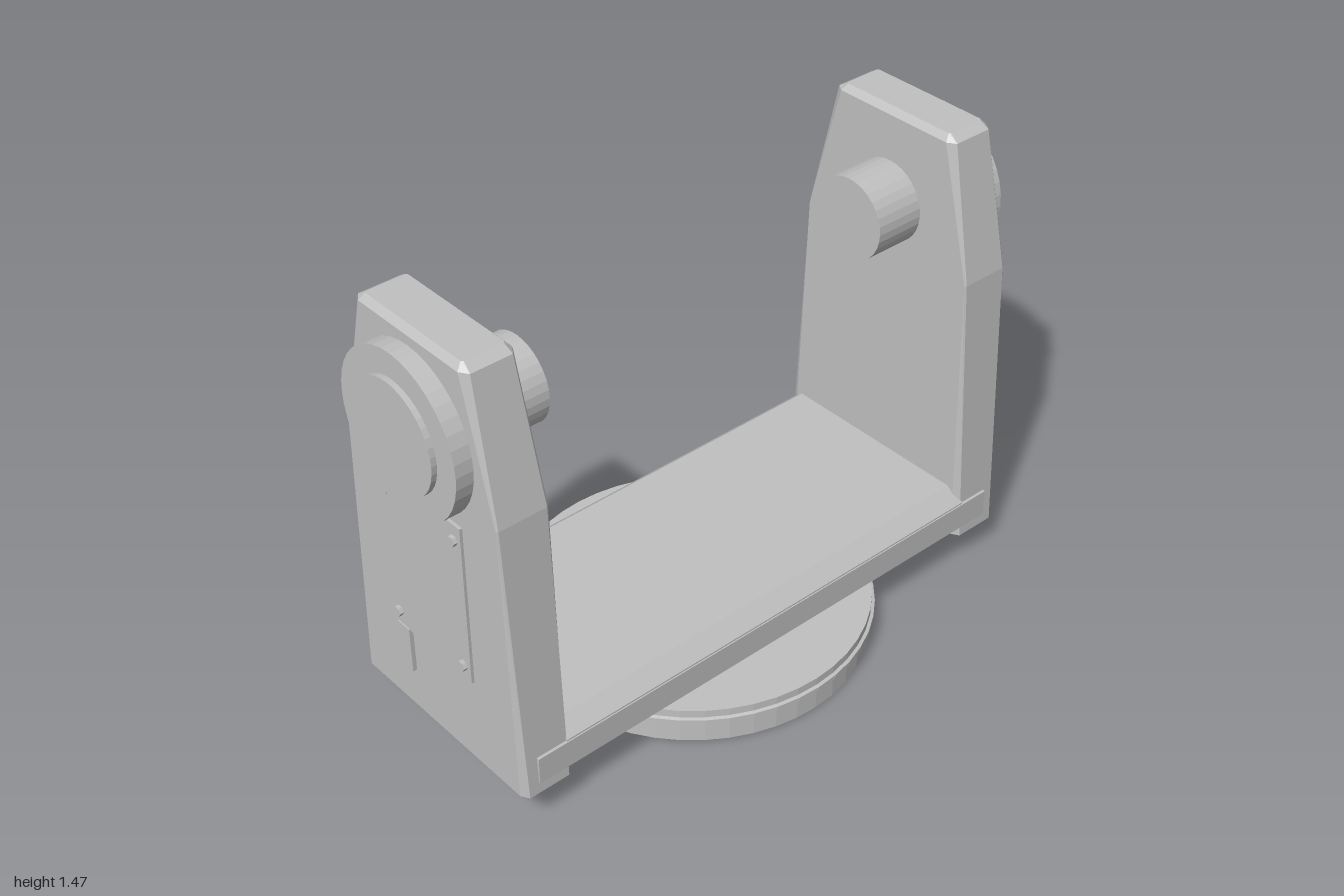
import * as THREE from 'three';

const castGrey = new THREE.MeshStandardMaterial({ color: 0xc0c0c0, flatShading: true });
castGrey.name = 'castGrey';

function add(parent, name, geometry, x = 0, y = 0, z = 0) {
  const mesh = new THREE.Mesh(geometry, castGrey);
  mesh.name = name;
  mesh.position.set(x, y, z);
  parent.add(mesh);
  return mesh;
}

// Cylinder lying along x, from x0 to x1
function addAxle(parent, name, r, x0, x1, y, z = 0, sides = 40) {
  const g = new THREE.CylinderGeometry(r, r, x1 - x0, sides).rotateZ(Math.PI / 2);
  return add(parent, name, g, (x0 + x1) / 2, y, z);
}

// Box given by its limits
function addBox(parent, name, x0, x1, y0, y1, z0, z1) {
  return add(parent, name, new THREE.BoxGeometry(x1 - x0, y1 - y0, z1 - z0),
    (x0 + x1) / 2, (y0 + y1) / 2, (z0 + z1) / 2);
}

// Stack of chamfered rectangles: [y, half width, half depth, chamfer x, chamfer z]
function loft(levels) {
  const rings = levels.map(([y, w, d, cx, cz]) => [
    [w, -d + cz], [w, d - cz], [w - cx, d], [-w + cx, d],
    [-w, d - cz], [-w, -d + cz], [-w + cx, -d], [w - cx, -d],
  ].map(([x, z]) => [x, y, z]));
  const out = [];
  const tri = (...pts) => pts.forEach((p) => out.push(...p));
  for (let i = 0; i < rings.length - 1; i++) {
    const lo = rings[i], hi = rings[i + 1];
    for (let j = 0; j < 8; j++) {
      const k = (j + 1) % 8;
      tri(lo[j], hi[j], hi[k]);
      tri(lo[j], hi[k], lo[k]);
    }
  }
  const bottom = rings[0], top = rings[rings.length - 1];
  for (let j = 1; j < 7; j++) {
    tri(bottom[0], bottom[j], bottom[j + 1]);
    tri(top[0], top[j + 1], top[j]);
  }
  const g = new THREE.BufferGeometry();
  g.setAttribute('position', new THREE.Float32BufferAttribute(out, 3));
  g.computeVertexNormals();
  return g;
}

// One upright with its bearing and access cover
function createUpright(name) {
  const side = new THREE.Group();
  side.name = name;
  add(side, 'arm', loft([
    [0.1, 0.065, 0.355, 0.012, 0.02],
    [0.12, 0.0825, 0.377, 0.015, 0.025],
    [1.02, 0.0825, 0.325, 0.006, 0.004],
    [1.445, 0.0825, 0.235, 0.018, 0.026],
    [1.465, 0.065, 0.205, 0.005, 0.005],
  ]), 0.8465);
  addAxle(side, 'bearingHousing', 0.246, 0.92, 0.983, 1.17);
  addAxle(side, 'bearingCap', 0.168, 0.97, 1.0, 1.17);
  addAxle(side, 'trunnionShaft', 0.131, 0.6, 0.78, 1.17, 0, 32);
  addBox(side, 'accessCover', 0.92, 0.938, 0.415, 0.945, -0.175, 0.175);
  addBox(side, 'cableCoverLower', 0.92, 0.942, 0.265, 0.42, 0.107, 0.162);
  addBox(side, 'cableCoverUpper', 0.92, 0.942, 0.94, 0.99, 0.107, 0.162);
  for (const y of [0.465, 0.895]) {
    for (const z of [-0.147, 0.147]) addAxle(side, 'coverBolt', 0.016, 0.93, 0.95, y, z, 6);
  }
  return side;
}

export function createModel() {
  const model = new THREE.Group();
  model.name = 'yokeMount';

  // Turntable base with a thin rim
  const profile = [[0, 0], [0.545, 0], [0.545, 0.07], [0.555, 0.073], [0.555, 0.087],
    [0.545, 0.09], [0.545, 0.115], [0, 0.115]].map(([x, y]) => new THREE.Vector2(x, y));
  add(model, 'turntable', new THREE.LatheGeometry(profile, 48));

  // Cross deck with sloped edges, and the rail along both long sides
  const section = new THREE.Shape([[-0.33, 0.103], [0.33, 0.103], [0.375, 0.15], [0.375, 0.25],
    [0.325, 0.295], [-0.325, 0.295], [-0.375, 0.25], [-0.375, 0.15]]
    .map(([x, y]) => new THREE.Vector2(x, y)));
  const deck = new THREE.ExtrudeGeometry(section, { depth: 1.56, bevelEnabled: false });
  add(model, 'deck', deck.translate(0, 0, -0.78).rotateY(Math.PI / 2));
  addBox(model, 'deckRail', -0.88, 0.88, 0.155, 0.245, -0.379, 0.379);

  // Uprights, the second turned half round
  model.add(createUpright('leftUpright'));
  const right = createUpright('rightUpright');
  right.rotation.y = Math.PI;
  model.add(right);
  return model;
}
